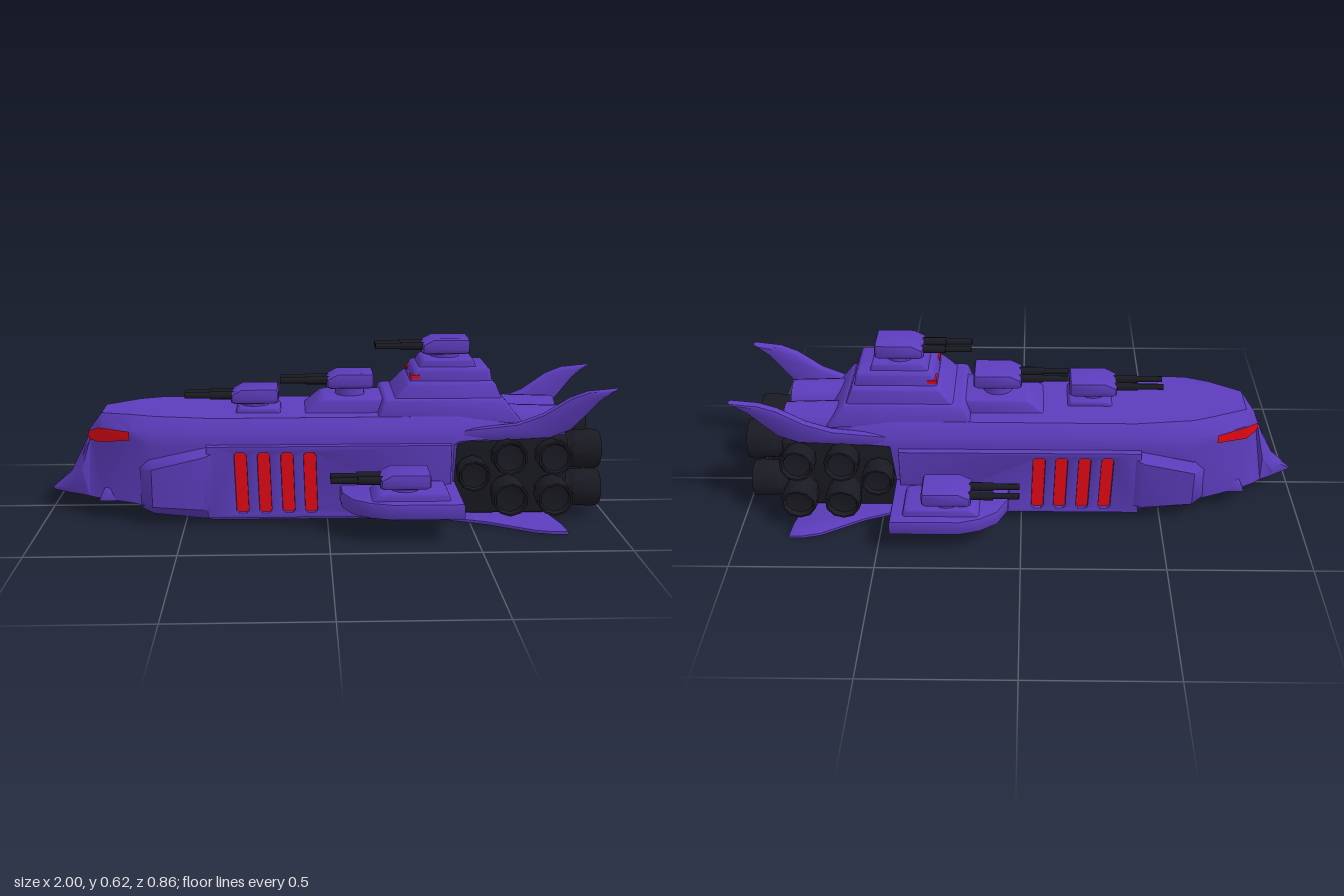
import * as THREE from 'three';
import { toCreasedNormals } from 'three/addons/utils/BufferGeometryUtils.js';
import { RoundedBoxGeometry } from 'three/addons/geometries/RoundedBoxGeometry.js';

const mat = (name, color, side = THREE.FrontSide) => {
  const m = new THREE.MeshStandardMaterial({ color, side });
  m.name = name;
  return m;
};

export function createModel() {
  const ship = new THREE.Group();
  ship.name = 'spaceship';
  const purple = mat('purple hull', 0x5c3cbc);
  const dark = mat('dark metal', 0x1a1a23);
  const red = mat('red glow', 0xff0a1a, THREE.DoubleSide);

  const add = (name, geo, material, parent = ship) => {
    const mesh = new THREE.Mesh(geo, material);
    mesh.name = name;
    parent.add(mesh);
    return mesh;
  };

  // Skin over cross-sections along x; a row is [x, yb,wb, ym,wm, ys,ws, wr,yt], mirrored in z
  const loft = (rows) => {
    const rings = rows.map(([x, yb, wb, ym, wm, ys, ws, wr, yt]) => {
      const half = [[yb, wb], [ym, wm], [ys, ws], [yt, wr]];
      const ring = [[yb, 0], ...half, [yt, 0], ...half.reverse().map(([y, w]) => [y, -w])];
      return ring.map(([y, z]) => [x, y, z]);
    });
    const n = rings[0].length, pos = [];
    const tri = (...p) => p.forEach((v) => pos.push(...v));
    for (let j = 0; j < n; j++) {
      const k = (j + 1) % n;
      for (let i = 0; i + 1 < rings.length; i++) {
        const a = rings[i], b = rings[i + 1];
        tri(a[j], b[j], a[k]);
        tri(b[j], b[k], a[k]);
      }
      const first = rings[0], last = rings[rings.length - 1];
      if (j > 0 && k > 0) {
        tri(first[0], first[j], first[k]);
        tri(last[0], last[k], last[j]);
      }
    }
    const geo = new THREE.BufferGeometry();
    geo.setAttribute('position', new THREE.Float32BufferAttribute(pos, 3));
    return toCreasedNormals(geo, 0.75);
  };

  // Rounded block whose top is narrower and slanted at bow and stern
  const block = (x0, x1, y0, y1, w, z = 0, bow = 0, stern = 0, taper = 0, r = 0.012) => {
    const h = y1 - y0;
    const geo = new RoundedBoxGeometry(x1 - x0, h, 2 * w, 2, r);
    const p = geo.attributes.position;
    for (let i = 0; i < p.count; i++) {
      const t = p.getY(i) / h + 0.5, x = p.getX(i);
      p.setX(i, x + t * (x < 0 ? bow : -stern));
      p.setZ(i, p.getZ(i) * (1 - taper * t));
    }
    return toCreasedNormals(geo, 0.7).translate((x0 + x1) / 2, (y0 + y1) / 2, z);
  };

  // Extruded outline, optionally with holes, with a small bevel, centred on its depth
  const vectors = (pts) => pts.map(([x, y]) => new THREE.Vector2(x, y));
  const slab = (pts, depth, bevel = 0.006, holes = []) => {
    const shape = new THREE.Shape(vectors(pts));
    shape.holes = holes.map((h) => new THREE.Path(vectors(h)));
    const geo = new THREE.ExtrudeGeometry(shape, {
      depth: depth - 2 * bevel, bevelThickness: bevel, bevelSize: bevel, bevelOffset: -bevel, bevelSegments: 2,
    });
    return toCreasedNormals(geo.translate(0, 0, bevel - depth / 2), 0.7);
  };
  const plan = (pts, yMid, height, bevel) => slab(pts, height, bevel).rotateX(Math.PI / 2).translate(0, yMid, 0);

  // Main hull with pointed prow
  const hull = [
    [-1, 0.065, 0.002, 0.068, 0.003, 0.072, 0.003, 0.001, 0.075],
    [-0.93, 0.065, 0.045, 0.09, 0.05, 0.12, 0.035, 0.012, 0.135],
    [-0.88, 0.068, 0.075, 0.16, 0.07, 0.2, 0.042, 0.02, 0.23],
    [-0.85, 0.07, 0.1, 0.266, 0.033, 0.296, 0.034, 0.03, 0.302],
    [-0.80, 0.07, 0.13, 0.272, 0.1, 0.326, 0.104, 0.06, 0.368],
    [-0.685, 0.07, 0.178, 0.295, 0.163, 0.326, 0.163, 0.115, 0.375],
    [-0.60, 0.05, 0.185, 0.28, 0.2, 0.33, 0.185, 0.145, 0.375],
    [-0.40, 0.04, 0.18, 0.28, 0.2, 0.33, 0.195, 0.16, 0.37],
    [0.44, 0.04, 0.18, 0.28, 0.2, 0.33, 0.19, 0.155, 0.37],
    [0.46, 0.27, 0.17, 0.29, 0.195, 0.33, 0.188, 0.155, 0.37],
    [0.67, 0.29, 0.15, 0.3, 0.18, 0.33, 0.17, 0.14, 0.36],
  ];
  add('mainHull', loft(hull), purple);
  add('bowJaw', block(-0.81, -0.72, 0.066, 0.112, 0.152, 0, 0.02, 0.01, 0.1, 0.006), purple);

  // Lower armour core and bow cheeks
  add('lowerArmour', loft([
    [-0.45, 0.012, 0.17, 0.04, 0.19, 0.26, 0.19, 0.18, 0.29],
    [-0.40, 0.006, 0.185, 0.04, 0.2, 0.285, 0.2, 0.19, 0.31],
    [0.42, 0.006, 0.185, 0.04, 0.2, 0.285, 0.2, 0.19, 0.31],
    [0.44, 0.006, 0.17, 0.04, 0.19, 0.27, 0.19, 0.18, 0.3],
  ]), purple);
  add('bowCheeks', loft([
    [-0.655, 0.04, 0.15, 0.07, 0.18, 0.19, 0.18, 0.16, 0.21],
    [-0.61, 0.03, 0.18, 0.07, 0.228, 0.205, 0.228, 0.2, 0.235],
    [-0.43, 0.012, 0.185, 0.06, 0.236, 0.25, 0.236, 0.2, 0.275],
    [-0.40, 0.012, 0.18, 0.06, 0.222, 0.26, 0.222, 0.19, 0.28],
  ]), purple);

  // Flat tail plate with swept wing tips
  const wing = [[-0.42, 0.15], [0.4, 0.19], [0.56, 0.25], [0.71, 0.335], [0.77, 0.35], [0.82, 0.35], [0.815, 0.28], [0.78, 0.13]];
  add('tailPlate', plan([...wing, ...wing.map(([x, z]) => [x, -z]).reverse()], 0.006, 0.012, 0.003), purple);

  // Stepped superstructure
  add('foreDeck', block(-0.1, 0.3, 0.35, 0.42, 0.1, 0, 0.08, 0, 0.1), purple);
  add('bridgeBase', block(0.17, 0.69, 0.34, 0.43, 0.16, 0, 0.03, 0.07, 0.08), purple);
  add('bridgeLower', block(0.22, 0.62, 0.41, 0.485, 0.14, 0, 0.07, 0.03, 0.12), purple);
  add('bridgeUpper', block(0.29, 0.585, 0.475, 0.53, 0.105, 0, 0.02, 0.01, 0.1), purple);
  add('bridgeRoof', block(0.32, 0.53, 0.52, 0.556, 0.078, 0, 0.02, 0.01, 0.05, 0.008), purple);
  add('gunDeck', block(-0.33, -0.16, 0.36, 0.39, 0.07, 0.02, 0.02, 0.01), purple);

  // Twin-barrel turrets: x, underside y, z
  const turretSide = [[-0.085, 0.002], [-0.083, 0.032], [-0.045, 0.052], [0.08, 0.052], [0.085, 0.04], [0.085, 0.004], [0.07, -0.004], [-0.07, -0.004]];
  const turret = (name, x, y, z) => {
    const g = new THREE.Group();
    g.name = name;
    g.position.set(x, y, z);
    add('turretBody', slab(turretSide, 0.126, 0.014), purple, g);
    add('turretRing', new THREE.CylinderGeometry(0.05, 0.055, 0.05, 16).translate(0, -0.018, 0), purple, g);
    for (const s of [-1, 1]) {
      const rod = (r, x0, x1) => new THREE.CylinderGeometry(r, r, x1 - x0, 8).rotateZ(Math.PI / 2)
        .translate((x0 + x1) / 2, 0.022, s * 0.026);
      add('barrel', rod(0.011, -0.25, -0.05), dark, g);
      add('barrelSleeve', rod(0.015, -0.16, -0.06), dark, g);
    }
    ship.add(g);
  };
  turret('foreTurret', -0.255, 0.403, 0.022);
  turret('middleTurret', 0.085, 0.45, -0.003);
  turret('bridgeTurret', 0.425, 0.572, -0.008);

  // Engine core and twin exhaust housings
  add('engineCore', block(0.43, 0.845, 0.018, 0.3, 0.18), dark);
  for (const s of [-1, 1]) {
    add('exhaustHousing', toCreasedNormals(new THREE.CylinderGeometry(0.076, 0.084, 0.26, 20), 0.7)
      .rotateZ(-Math.PI / 2).translate(0.71, 0.31, s * 0.075), purple);
  }

  // Engine nozzle with a recessed mouth, pointing along dir
  const nozzle = (base, dir, r, len) => {
    const prof = [[0.8, 0], [0.8, 0.35], [0.93, 0.42], [1, 0.85], [0.95, 1], [0.84, 1], [0.76, 0.9], [0, 0.84]];
    const geo = new THREE.LatheGeometry(prof.map(([a, b]) => new THREE.Vector2(a * r, b * len)), 10);
    const mesh = add('engineNozzle', toCreasedNormals(geo, 0.75), dark);
    mesh.position.set(...base);
    mesh.quaternion.setFromUnitVectors(new THREE.Vector3(0, 1, 0), new THREE.Vector3(...dir).normalize());
  };
  for (const [y, z, r] of [[0.235, 0.107, 0.071], [0.267, -0.113, 0.075], [0.1, 0.134, 0.069], [0.105, -0.13, 0.07]]) {
    nozzle([0.8, y, z], [1, 0, 0], r, 0.168);
  }

  // Slanted rounded slot around (x, 0.153) for the side vents
  const ventXs = [-0.3, -0.22, -0.139, -0.06];
  const slot = (x) => [[-0.021, -0.1], [-0.013, -0.109], [0.013, -0.109], [0.021, -0.1], [0.021, 0.1], [0.013, 0.109], [-0.013, 0.109], [-0.021, 0.1]]
    .map(([u, v]) => [x + u - 0.03 * v, 0.153 + v]);

  for (const s of [-1, 1]) {
    // Side nozzles
    nozzle([0.505, 0.183, s * 0.13], [0, 0, s], 0.058, 0.135);
    for (const x of [0.63, 0.785]) {
      nozzle([x, 0.23, s * 0.11], [0, 0.1, s], 0.062, 0.148);
      nozzle([x, 0.115, s * 0.13], [0, -0.06, s], 0.064, 0.162);
    }

    // Swept tail fin, leaning outwards
    const fin = slab([[0.42, 0.28], [0.48, 0.33], [0.66, 0.35], [0.75, 0.385], [0.84, 0.445], [0.9, 0.468],
      [1, 0.477], [0.94, 0.43], [0.89, 0.37], [0.85, 0.325], [0.78, 0.295]], 0.034, 0.012);
    const p = fin.attributes.position;
    for (let i = 0; i < p.count; i++) p.setZ(i, p.getZ(i) + s * (0.17 + 0.16 * (p.getY(i) - 0.29)));
    add('tailFin', toCreasedNormals(fin, 0.7), purple);

    // Side gun platform
    add('sidePlatform', plan([[0.04, 0.18], [0.045, 0.3], [0.08, 0.37], [0.14, 0.41], [0.21, 0.43], [0.45, 0.43], [0.45, 0.18]]
      .map(([x, z]) => [x, s * z]), 0.114, 0.058, 0.01), purple);
    add('platformStep', block(0.13, 0.41, 0.13, 0.17, 0.075, s * 0.325, 0.04, 0.01, 0.05), purple);
    turret('sideTurret', 0.255, 0.183, s * 0.335);

    // Slotted side armour with red vents set into it
    add('sideArmour', slab([[-0.42, 0.025], [0.43, 0.025], [0.43, 0.285], [-0.42, 0.285]], 0.03, 0.003, ventXs.map(slot))
      .translate(0, 0, s * 0.208), purple);
    for (const x of ventXs) {
      add('sideVent', new THREE.BoxGeometry(0.054, 0.226, 0.009).translate(x, 0.153, s * 0.205), red);
    }

    // Red bridge windows wrapping the front corners
    add('bridgeWindowFront', new THREE.BoxGeometry(0.006, 0.013, 0.045).translate(0.298, 0.499, s * 0.076), red);
    add('bridgeWindowSide', new THREE.BoxGeometry(0.03, 0.013, 0.006).translate(0.312, 0.499, s * 0.0995), red);

    // Slanted red eye strip following the bow
    const eye = [], strip = hull.slice(3, 6);
    for (let i = 0; i < 2; i++) {
      const [a, b] = [strip[i], strip[i + 1]];
      const lo = (q) => [q[0] - 0.004, q[3], s * (q[4] + 0.004)];
      const hi = (q) => [q[0] - 0.004, q[5], s * (q[6] + 0.004)];
      const quad = [lo(a), lo(b), hi(a), lo(b), hi(b), hi(a)];
      eye.push(...(s > 0 ? quad : quad.reverse()).flat());
    }
    const eyeGeo = new THREE.BufferGeometry();
    eyeGeo.setAttribute('position', new THREE.Float32BufferAttribute(eye, 3));
    eyeGeo.computeVertexNormals();
    add('bowEye', eyeGeo, red);
  }
  return ship;
}
